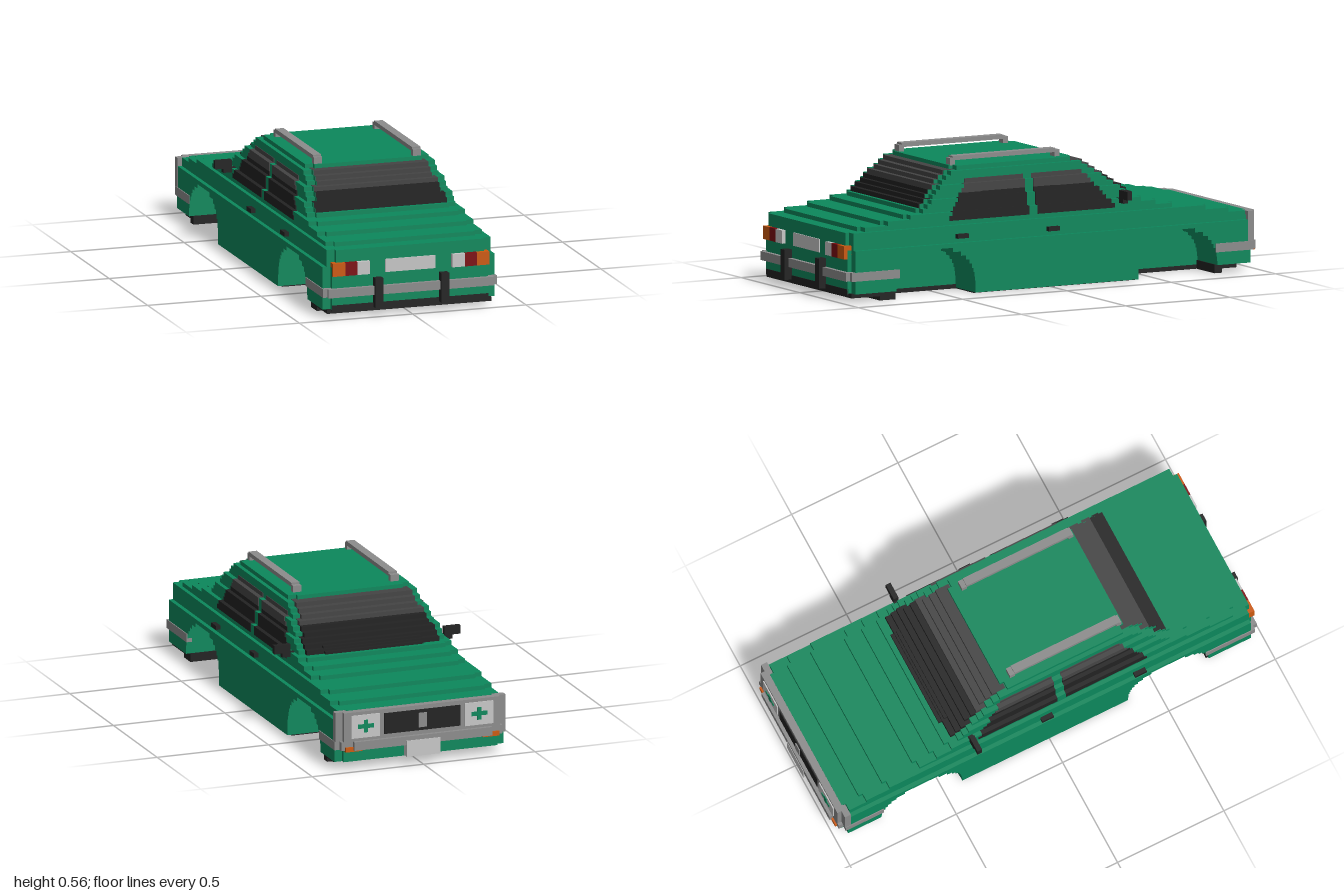
import * as THREE from 'three';

const mat = (name, hex) => {
  const m = new THREE.MeshStandardMaterial({ color: hex });
  m.name = name;
  return m;
};

export function createModel() {
  const car = new THREE.Group();
  car.name = 'car';
  const green = mat('green paint', 0x0c885c);
  const black = mat('black trim', 0x222222);
  const smoke = mat('smoked glass', 0x444444);
  const grey = mat('grey metal', 0x8c8c8c);
  const white = mat('white lens', 0xc6c6c6);
  const orange = mat('orange lens', 0xcc5a0e);
  const red = mat('red lens', 0x7d0c10);

  const group = (name) => {
    const g = new THREE.Group();
    g.name = name;
    car.add(g);
    return g;
  };
  // Box given by its limits on each axis
  const box = (parent, name, m, x0, x1, y0, y1, z0, z1) => {
    const mesh = new THREE.Mesh(new THREE.BoxGeometry(x1 - x0, y1 - y0, z1 - z0), m);
    mesh.position.set((x0 + x1) / 2, (y0 + y1) / 2, (z0 + z1) / 2);
    mesh.name = name;
    parent.add(mesh);
  };
  const mid = (parent, name, m, w, ...r) => box(parent, name, m, -w, w, ...r);
  const pair = (parent, name, m, x0, x1, ...r) => {
    box(parent, name, m, x0, x1, ...r);
    box(parent, name, m, -x1, -x0, ...r);
  };

  const V = 0.0182; // height of one body layer
  const halfWidth = (i) =>
    i < 12 ? 0.38 : i < 16 ? 0.362 : i < 19 ? 0.345 : i < 22 ? 0.327 : i < 25 ? 0.31 : i < 28 ? 0.29 : 0.272;
  // Ends of the stepped layers, from the waistline up to the roof
  const tailZ = [0.965, 0.9, 0.79, 0.68, 0.61, 0.59, 0.57, 0.555, 0.54, 0.52, 0.5, 0.48, 0.455, 0.42];
  const noseZ = [-0.76, -0.61, -0.53, -0.46, -0.42, -0.395, -0.37, -0.345, -0.315, -0.29, -0.265, -0.235, -0.205, -0.16];
  const tail = (i) => (i < 15 ? 0.965 : tailZ[i - 15]);
  const nose = (i) => (i < 13 ? -0.965 : i === 13 ? -0.95 : i === 14 ? -0.87 : noseZ[i - 15]);

  // Lower body with stepped wheel wells around an inner core
  const lower = group('lowerBody');
  const rearAxle = 0.56, frontAxle = -0.6, inner = 0.21;
  for (let i = 0; i < 11; i++) {
    const y0 = Math.max(i * V, 0.004), y1 = (i + 1) * V;
    const a = 0.19 * Math.sqrt(1 - Math.pow((i + 0.3) / 11, 3));
    const w = halfWidth(i);
    pair(lower, 'sill', green, inner, w, y0, y1, frontAxle + a, rearAxle - a);
    if (i >= 1) mid(lower, 'core', green, inner, y0, y1, i < 2 ? -0.8 : -0.965, i < 2 ? 0.76 : 0.965);
    if (i >= 2) {
      pair(lower, 'rearQuarter', green, inner, w, y0, y1, rearAxle + a, 0.947);
      pair(lower, 'rearCorner', green, inner, w - 0.035, y0, y1, 0.9, 0.965);
      pair(lower, 'frontQuarter', green, inner, w, y0, y1, -0.947, frontAxle - a);
      pair(lower, 'frontCorner', green, inner, w - 0.035, y0, y1, -0.965, -0.9);
    }
  }

  // Upper body: full slabs with notched corners
  const upper = group('upperBody');
  for (let i = 11; i < 29; i++) {
    const w = halfWidth(i), y0 = i * V, y1 = y0 + V;
    mid(upper, 'layer', green, w, y0, y1, nose(i) + 0.018, tail(i) - 0.018);
    mid(upper, 'layerEnd', green, w - 0.035, y0, y1, nose(i), tail(i));
  }

  // Glass bands follow the body layers, standing just proud of them
  const glass = group('windows');
  const e = 0.003;
  for (let i = 17; i < 28; i++) {
    const w = halfWidth(i), y0 = i * V, y1 = y0 + V + 0.0015;
    const screen = i < 24 ? black : smoke;
    if (i >= 20) mid(glass, 'rearWindow', screen, w - 0.037, y0, y1, tail(i) - 0.06, tail(i) + e);
    if (i >= 19) {
      mid(glass, 'windscreen', screen, w - 0.03, y0, y1, nose(i) - e, nose(i) + 0.06);
      if (i < 21) mid(glass, 'windscreenBase', black, 0.22, y0, y0 + V * 0.6, nose(i) - 0.018, nose(i));
    }
    if (i < 26) {
      const k = i - 17, side = i < 23 ? black : smoke;
      pair(glass, 'rearSideWindow', side, w - 0.03, w + e, y0, y1, 0.095, 0.475 - 0.0125 * k);
      pair(glass, 'frontSideWindow', side, w - 0.03, w + e, y0, y1, -0.315 + 0.016 * k, 0.055);
    }
  }

  // Black underside and valances
  const under = group('underside');
  mid(under, 'floor', black, 0.362, 0, 0.012, -0.41, 0.37);
  mid(under, 'floorSpine', black, inner, 0, V, -0.8, 0.8);
  mid(under, 'rearSkid', black, 0.362, 0, V, 0.745, 0.82);
  mid(under, 'rearValance', black, 0.362, V, 0.037, 0.745, 0.955);
  mid(under, 'rearValanceFace', black, 0.345, 0.03, 0.055, 0.96, 0.968);
  mid(under, 'frontSkid', black, 0.362, 0, V, -0.82, -0.785);
  mid(under, 'frontValance', black, 0.362, V, 0.037, -0.89, -0.785);

  // Bumpers with wrapped ends
  const bumpers = group('bumpers');
  mid(bumpers, 'rearBumper', grey, 0.365, 0.091, 0.128, 0.9, 0.983);
  pair(bumpers, 'rearBumperEnd', grey, 0.36, 0.384, 0.091, 0.128, 0.735, 0.965);
  pair(bumpers, 'rearOverrider', black, 0.128, 0.163, 0.037, 0.164, 0.96, 1.0);
  mid(bumpers, 'frontBumper', grey, 0.31, 0.091, 0.128, -0.998, -0.9);
  mid(bumpers, 'frontBumperCorner', grey, 0.362, 0.091, 0.128, -0.982, -0.9);
  pair(bumpers, 'frontBumperEnd', grey, 0.36, 0.384, 0.091, 0.128, -0.96, -0.78);
  pair(bumpers, 'indicator', orange, 0.27, 0.345, 0.085, 0.105, -0.99, -0.96);
  mid(bumpers, 'frontPlate', white, 0.075, 0.04, 0.11, -1.0, -0.965);

  // Tail lights and rear plate
  const rear = group('tailLights');
  pair(rear, 'turnLight', orange, 0.29, 0.345, 0.182, 0.238, 0.94, 0.982);
  pair(rear, 'brakeLight', red, 0.237, 0.29, 0.182, 0.238, 0.95, 0.982);
  pair(rear, 'reverseLight', white, 0.182, 0.237, 0.182, 0.238, 0.95, 0.982);
  mid(rear, 'rearPlate', white, 0.11, 0.182, 0.238, 0.96, 0.97);

  // Grille and headlights
  const front = group('frontFace');
  mid(front, 'grilleFrame', grey, 0.35, 0.128, 0.254, -0.982, -0.945);
  pair(front, 'frameEnd', grey, 0.33, 0.382, 0.128, 0.254, -0.963, -0.935);
  mid(front, 'grille', black, 0.17, 0.146, 0.236, -0.986, -0.98);
  mid(front, 'grilleBar', grey, 0.018, 0.16, 0.222, -0.991, -0.98);
  pair(front, 'headlight', white, 0.19, 0.318, 0.141, 0.24, -0.987, -0.98);
  pair(front, 'headlightBarWide', green, 0.219, 0.29, 0.182, 0.2, -0.99, -0.98);
  pair(front, 'headlightBarTall', green, 0.245, 0.263, 0.164, 0.218, -0.99, -0.98);

  // Mirrors, door handles and roof rails
  const extras = group('fittings');
  pair(extras, 'mirror', black, 0.345, 0.418, 0.346, 0.382, -0.358, -0.336);
  pair(extras, 'mirrorFoot', black, 0.32, 0.382, 0.328, 0.348, -0.358, -0.336);
  for (const z of [0.43, -0.007])
    pair(extras, 'doorHandle', black, 0.355, 0.382, 0.237, 0.255, z - 0.027, z + 0.027);
  pair(extras, 'roofRail', grey, 0.2, 0.237, 0.546, 0.564, -0.09, 0.4);
  for (const z of [-0.1, 0.4])
    pair(extras, 'railFoot', grey, 0.2, 0.237, 0.525, 0.556, z - 0.012, z + 0.012);
  return car;
}
